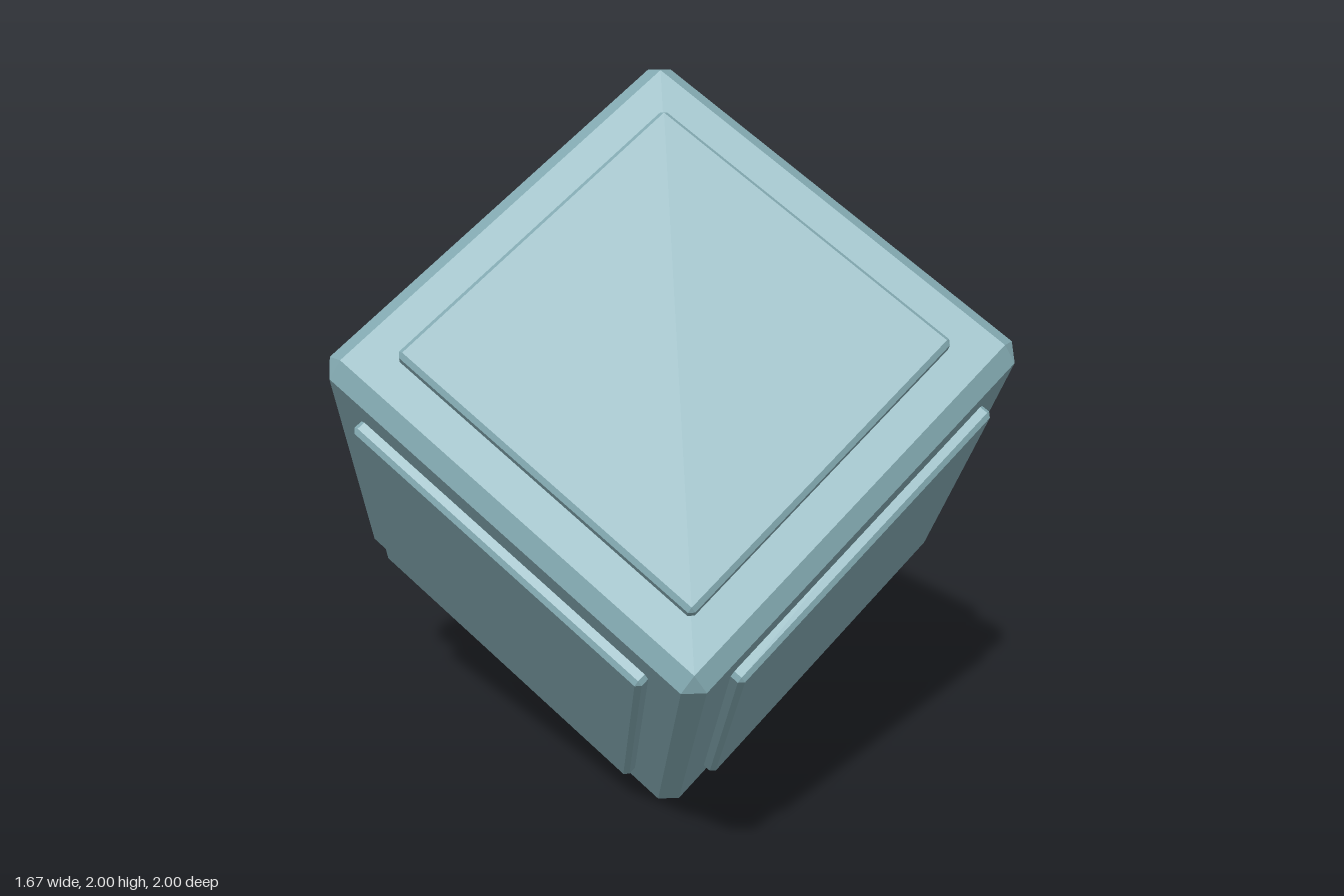
import * as THREE from 'three';
import { ConvexGeometry } from 'three/addons/geometries/ConvexGeometry.js';

// Box with all edges and corners cut by a flat chamfer c (half sizes hx, hy, hz)
function chamferBox(hx, hy, hz, c) {
  const points = [];
  for (const sx of [-1, 1]) for (const sy of [-1, 1]) for (const sz of [-1, 1]) {
    for (let axis = 0; axis < 3; axis++) {
      const h = [hx, hy, hz].map((v, i) => (i === axis ? v : v - c));
      points.push(new THREE.Vector3(sx * h[0], sy * h[1], sz * h[2]));
    }
  }
  return new ConvexGeometry(points);
}

export function createModel() {
  const model = new THREE.Group();
  model.name = 'chamferedCube';
  const material = new THREE.MeshStandardMaterial({ color: 0x86adb5, flatShading: true });

  // Everything is built square, then tipped so that one edge points up
  const cube = new THREE.Group();
  cube.name = 'tiltedCube';
  cube.rotation.set(Math.PI / 4, Math.PI / 4, 0);
  cube.position.y = 1;
  model.add(cube);

  const half = 0.6105, panelTop = 0.645, panelHalf = 0.4745, panelDepth = 0.04;
  const body = new THREE.Mesh(chamferBox(half, half, half, 0.042), material);
  body.name = 'body';
  cube.add(body);

  // Raised panel, repeated on all six faces
  const panelGeometry = chamferBox(panelHalf, panelHalf, panelDepth, 0.012);
  panelGeometry.translate(0, 0, panelTop - panelDepth);
  const q = Math.PI / 2;
  const faces = {
    front: [0, 0], left: [0, q], back: [0, 2 * q], right: [0, -q], top: [-q, 0], bottom: [q, 0],
  };
  for (const [face, [rx, ry]] of Object.entries(faces)) {
    const panel = new THREE.Mesh(panelGeometry, material);
    panel.name = face + 'Panel';
    panel.rotation.set(rx, ry, 0);
    cube.add(panel);
  }
  return model;
}
